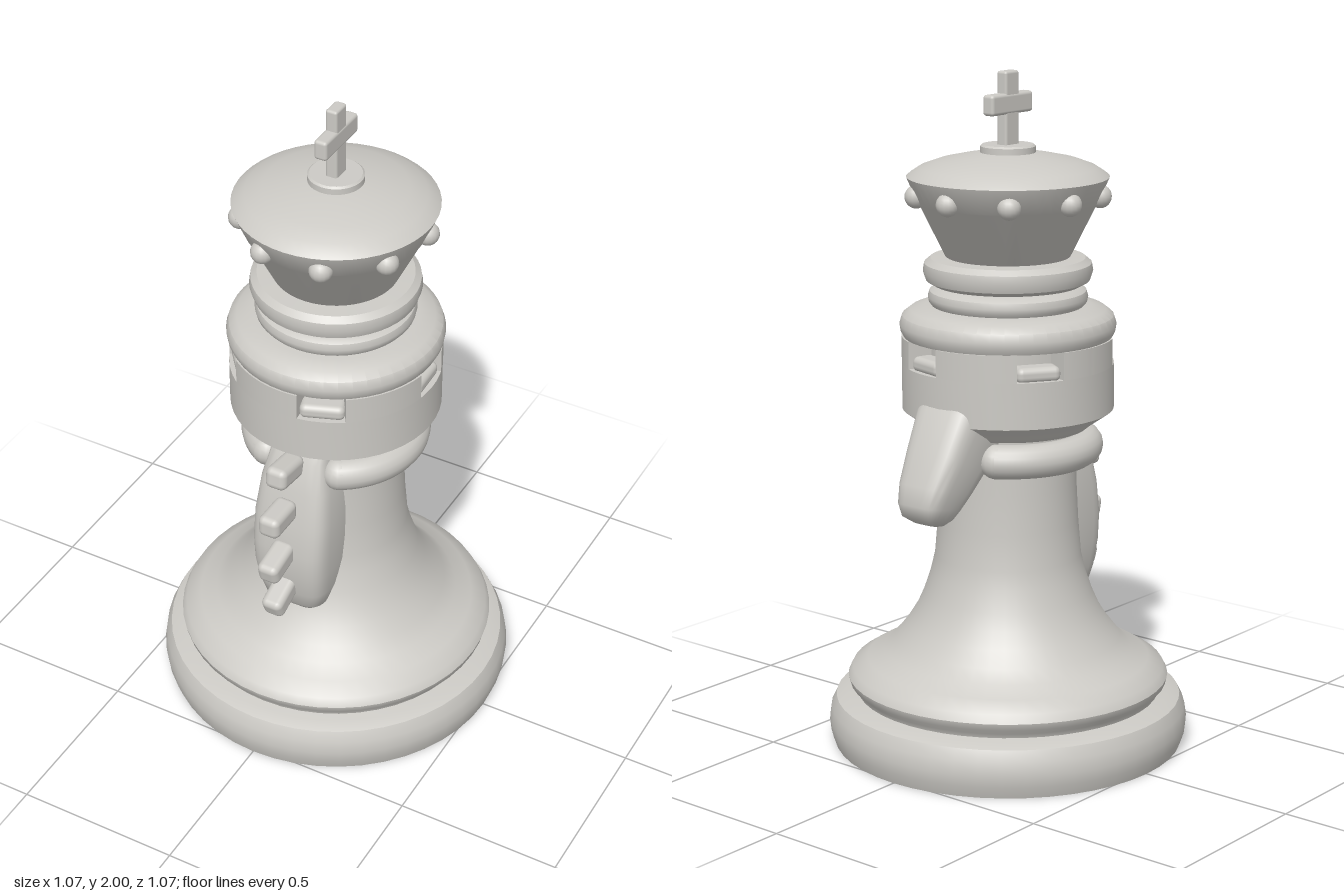
import * as THREE from 'three';
import { toCreasedNormals } from 'three/addons/utils/BufferGeometryUtils.js';
import { RoundedBoxGeometry } from 'three/addons/geometries/RoundedBoxGeometry.js';

const stone = new THREE.MeshStandardMaterial({ color: 0xcccac5 });
stone.name = 'paleStone';
const rad = THREE.MathUtils.degToRad;

// Profile points are [radius, height], bottom to top.
function turned(points, sides = 48) {
  const g = new THREE.LatheGeometry(points.map(([r, y]) => new THREE.Vector2(r, y)), sides);
  return toCreasedNormals(g, 0.6);
}

// Loft through rounded sections [outerZ, outerY, innerZ, innerY, halfWidth], top to bottom.
function loft(sections, power, n = 32) {
  const pos = [], idx = [];
  const curve = v => Math.sign(v) * Math.abs(v) ** power;
  for (const [z0, y0, z1, y1, w] of sections) {
    for (let j = 0; j < n; j++) {
      const t = (j / n) * Math.PI * 2, c = curve(Math.cos(t)), s = curve(Math.sin(t));
      pos.push(s * w, (y0 + y1) / 2 + (c * (y0 - y1)) / 2, (z0 + z1) / 2 + (c * (z0 - z1)) / 2);
    }
  }
  for (let i = 0; i < sections.length - 1; i++) {
    for (let j = 0; j < n; j++) {
      const a = i * n + j, b = i * n + ((j + 1) % n);
      idx.push(a, a + n, b, b, a + n, b + n);
    }
  }
  // End caps
  [0, sections.length - 1].forEach((i, end) => {
    const [z0, y0, z1, y1] = sections[i], centre = pos.length / 3;
    pos.push(0, (y0 + y1) / 2, (z0 + z1) / 2);
    for (let j = 0; j < n; j++) {
      const a = i * n + j, b = i * n + ((j + 1) % n);
      if (end) idx.push(centre, b, a); else idx.push(centre, a, b);
    }
  });
  const g = new THREE.BufferGeometry();
  g.setAttribute('position', new THREE.Float32BufferAttribute(pos, 3));
  g.setIndex(idx);
  return toCreasedNormals(g, 0.9);
}

export function createModel() {
  const model = new THREE.Group();
  model.name = 'chessKing';
  const add = (name, geometry, parent = model) => {
    const m = new THREE.Mesh(geometry, stone);
    m.name = name;
    parent.add(m);
    return m;
  };

  // Foot and flared body
  add('foot', turned([[0, 0], [0.52, 0], [0.532, 0.035], [0.536, 0.07], [0.53, 0.11],
    [0.515, 0.142], [0.48, 0.155], [0, 0.155]]));
  add('body', turned([[0.45, 0.15], [0.455, 0.168], [0.473, 0.185], [0.478, 0.205], [0.465, 0.23],
    [0.42, 0.258], [0.37, 0.285], [0.335, 0.32], [0.3, 0.365], [0.272, 0.41], [0.25, 0.46],
    [0.23, 0.52], [0.217, 0.575], [0.208, 0.68], [0.202, 0.8], [0.2, 0.97]]));

  // Arms wrap each side, leaving gaps at front and back
  for (const side of [1, -1]) {
    const arm = new THREE.Group();
    arm.name = side > 0 ? 'leftArm' : 'rightArm';
    const g = new THREE.TorusGeometry(0.23, 0.05, 16, 32, rad(118));
    g.rotateZ(rad(-59));
    g.rotateX(Math.PI / 2);
    add('sleeve', g, arm);
    for (const a of [31, 149]) {
      add('armEnd', new THREE.SphereGeometry(0.05, 16, 12), arm)
        .position.set(0.23 * Math.sin(rad(a)), 0, 0.23 * Math.cos(rad(a)));
    }
    arm.position.y = 0.908;
    arm.rotation.y = side > 0 ? 0 : Math.PI;
    model.add(arm);
  }

  // Front panel and its row of pegs
  add('frontPanel', loft([
    [0.235, 0.985, 0.08, 0.985, 0.088], [0.255, 0.95, 0.08, 0.95, 0.093],
    [0.285, 0.86, 0.08, 0.86, 0.112], [0.31, 0.75, 0.08, 0.75, 0.123],
    [0.324, 0.65, 0.08, 0.65, 0.124], [0.322, 0.57, 0.08, 0.57, 0.121],
    [0.308, 0.49, 0.08, 0.49, 0.113], [0.292, 0.435, 0.08, 0.435, 0.1],
    [0.275, 0.412, 0.08, 0.412, 0.08]], 0.45));
  [[0.945, 0.305, 8], [0.803, 0.35, 0], [0.643, 0.36, -13], [0.5, 0.34, -22]].forEach(([y, z, tilt]) => {
    const peg = add('frontPeg', new RoundedBoxGeometry(0.068, 0.068, 0.125, 3, 0.02));
    peg.position.set(0, y, z);
    peg.rotation.x = rad(-tilt);
  });

  // Tail of hair at the back
  add('backTail', loft([
    [-0.27, 1.11, -0.08, 1.01, -0.115], [-0.315, 1.06, -0.12, 0.94, -0.11],
    [-0.37, 0.95, -0.19, 0.865, -0.1], [-0.415, 0.86, -0.235, 0.815, -0.088],
    [-0.43, 0.805, -0.275, 0.775, -0.077], [-0.42, 0.765, -0.305, 0.75, -0.066],
    [-0.385, 0.742, -0.33, 0.735, -0.045]], 0.55));

  // Head: solid below the windows, pillars between them, brim above
  const low = 1.155, high = 1.235, wall = 0.31, core = 0.24;
  add('headLower', turned([[0.17, 0.955], [0.235, 0.965], [0.25, 0.978], [wall, 1.02],
    [wall, low], [core - 0.01, low]]));
  add('headCore', new THREE.CylinderGeometry(core, core, high - low + 0.02, 48, 1, true))
    .position.y = (low + high) / 2;
  const half = rad(13);
  for (let k = 0; k < 5; k++) {
    const angle = rad(21 + 72 * k);
    // Pillar spans from this window to the next
    const s = new THREE.Shape();
    const from = half, to = rad(72) - half;
    s.absarc(0, 0, wall, from, to, false);
    s.absarc(0, 0, core - 0.01, to, from, true);
    const g = new THREE.ExtrudeGeometry(s, { depth: high - low, bevelEnabled: false, curveSegments: 10 });
    g.rotateX(-Math.PI / 2);
    g.rotateY(angle - Math.PI / 2);
    const pillar = add('windowPillar', toCreasedNormals(g, 0.6));
    pillar.position.y = low;
    // Rounded sill bar inside the window
    const bar = add('windowSill', new RoundedBoxGeometry(0.13, 0.045, 0.07, 3, 0.018));
    bar.position.set(0.262 * Math.sin(angle), 1.172, 0.262 * Math.cos(angle));
    bar.rotation.y = angle;
  }
  add('brim', turned([[core - 0.01, high], [0.305, high], [0.313, 1.25], [0.316, 1.27],
    [0.308, 1.295], [0.285, 1.313], [0.24, 1.325], [0.15, 1.325]]));

  // Two collar rings under the crown
  add('lowerCrownRing', turned([[0.18, 1.318], [0.218, 1.32], [0.23, 1.335], [0.233, 1.35],
    [0.228, 1.367], [0.212, 1.378], [0.15, 1.382]]));
  add('upperCrownRing', turned([[0.15, 1.378], [0.215, 1.385], [0.238, 1.398], [0.247, 1.425],
    [0.243, 1.448], [0.225, 1.463], [0.15, 1.468]]));

  // Crown with domed top
  add('crown', turned([[0.17, 1.46], [0.182, 1.468], [0.258, 1.622], [0.262, 1.625], [0.293, 1.698],
    [0.284, 1.706], [0.255, 1.725], [0.205, 1.743], [0.14, 1.757], [0.08, 1.767], [0, 1.77]]));
  for (let k = 0; k < 9; k++) {
    const a = rad(20 + 40 * k);
    add('crownBead', new THREE.SphereGeometry(0.034, 16, 12))
      .position.set(0.267 * Math.sin(a), 1.645, 0.267 * Math.cos(a));
  }
  add('crownButton', turned([[0.08, 1.755], [0.08, 1.785], [0.074, 1.79], [0, 1.79]]));

  // Cross on top
  add('crossPost', new RoundedBoxGeometry(0.036, 0.23, 0.06, 2, 0.008)).position.y = 1.885;
  add('crossArm', new RoundedBoxGeometry(0.04, 0.06, 0.184, 2, 0.01)).position.y = 1.907;

  return model;
}
